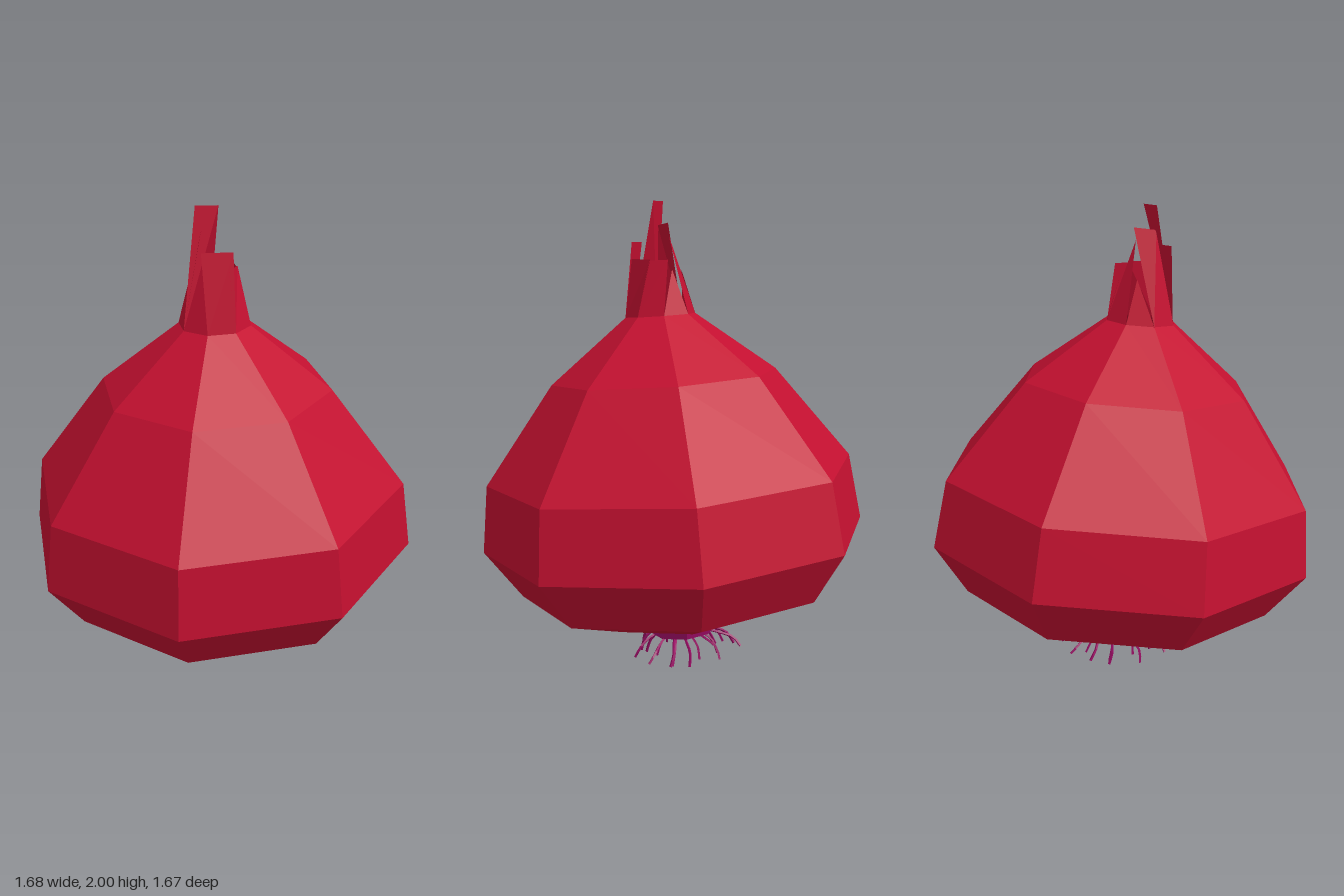
import * as THREE from 'three';

const SIDES = 8;
const NECK_RADIUS = 0.15;
const NECK_Y = 1.525;
const TILT = THREE.MathUtils.degToRad(5);

const material = (color) =>
  new THREE.MeshStandardMaterial({ color, flatShading: true, side: THREE.DoubleSide });

function lathe(name, profile, mat) {
  const points = profile.map(([r, y]) => new THREE.Vector2(r, y));
  const mesh = new THREE.Mesh(new THREE.LatheGeometry(points, SIDES), mat);
  mesh.name = name;
  return mesh;
}

// Point k of the octagonal neck ring, in the upright frame of the whole model
function neckPoint(k) {
  const a = (k * Math.PI * 2) / SIDES;
  const p = new THREE.Vector3(Math.sin(a) * NECK_RADIUS, NECK_Y + 0.004, Math.cos(a) * NECK_RADIUS);
  return p.applyAxisAngle(new THREE.Vector3(1, 0, 0), TILT).add(new THREE.Vector3(0, 0, -0.044));
}

// Torn skin: one side of the neck rising to an edge (two tips) or a spike (one tip)
function skinStrip(k, tips, mat) {
  const corners = [neckPoint(k), neckPoint(k + 1), ...tips.map((t) => new THREE.Vector3(...t))];
  const geometry = new THREE.BufferGeometry().setFromPoints(corners);
  geometry.setIndex(tips.length === 2 ? [0, 1, 2, 0, 2, 3] : [0, 1, 2]);
  geometry.computeVertexNormals();
  const mesh = new THREE.Mesh(geometry, mat);
  mesh.name = 'neckStrip' + (k + 1);
  return mesh;
}

// Root: leaves the underside, arches outward and droops
function root(angle, start, reach, drop, mat) {
  const at = (r, y, twist = 0) =>
    new THREE.Vector3(Math.sin(angle + twist) * r, y, Math.cos(angle + twist) * r);
  const curve = new THREE.CatmullRomCurve3([
    at(start, 0.135),
    at(start + reach * 0.45, 0.115, 0.05),
    at(start + reach * 0.8, 0.115 - drop * 0.4, 0.1),
    at(start + reach, 0.115 - drop, 0.05),
  ]);
  const mesh = new THREE.Mesh(new THREE.TubeGeometry(curve, 6, 0.006, 4), mat);
  mesh.name = 'root';
  return mesh;
}

export function createModel() {
  const model = new THREE.Group();
  model.name = 'onion';
  const red = material(0xc41030);
  const purple = material(0xb00e72);
  const rootPurple = material(0x960c62);

  // Bulb and root plate lean slightly forward
  const bulb = new THREE.Group();
  bulb.name = 'bulb';
  bulb.rotation.x = TILT;
  bulb.position.z = -0.044;
  model.add(bulb);

  bulb.add(lathe('bulbSkin', [
    [0.18, 0.203], [0.395, 0.241], [0.69, 0.353], [0.84, 0.565],
    [0.8, 0.855], [0.487, 1.266], [NECK_RADIUS, NECK_Y + 0.004],
  ], red));
  bulb.add(lathe('rootPlate', [[0, 0.128], [0.145, 0.128], [0.187, 0.205]], purple));

  // Roots in an outer and an inner ring
  const roots = new THREE.Group();
  roots.name = 'roots';
  bulb.add(roots);
  for (let i = 0; i < 13; i++) {
    const vary = Math.sin(i * 4.7);
    roots.add(root((i / 13) * Math.PI * 2 + vary * 0.12, 0.1, 0.13 + vary * 0.03, 0.075 - vary * 0.015, rootPurple));
  }
  for (let i = 0; i < 8; i++) {
    const vary = Math.sin(i * 2.9 + 1);
    roots.add(root((i / 8) * Math.PI * 2 + 0.3, 0.045, 0.11 + vary * 0.03, 0.09 + vary * 0.015, rootPurple));
  }

  // Tips of each strip, right tip first, going round from the front to the left side
  const neck = new THREE.Group();
  neck.name = 'neck';
  model.add(neck);
  [
    [[0.09, 1.83, 0.17], [-0.03, 1.83, 0.215]],
    [[0.09, 1.76, 0.07], [0.075, 1.76, 0.185]],
    [[0.06, 1.76, 0.0], [0.09, 1.755, 0.075]],
    [[0.02, 1.72, 0.01]],
    [[-0.02, 1.86, 0.06]],
    [[-0.085, 1.71, 0.04]],
    [[-0.045, 1.9, 0.14], [-0.01, 1.91, 0.055]],
    [[0.02, 2.0, 0.11], [-0.07, 2.0, 0.13]],
  ].forEach((tips, k) => neck.add(skinStrip(k, tips, red)));

  return model;
}
